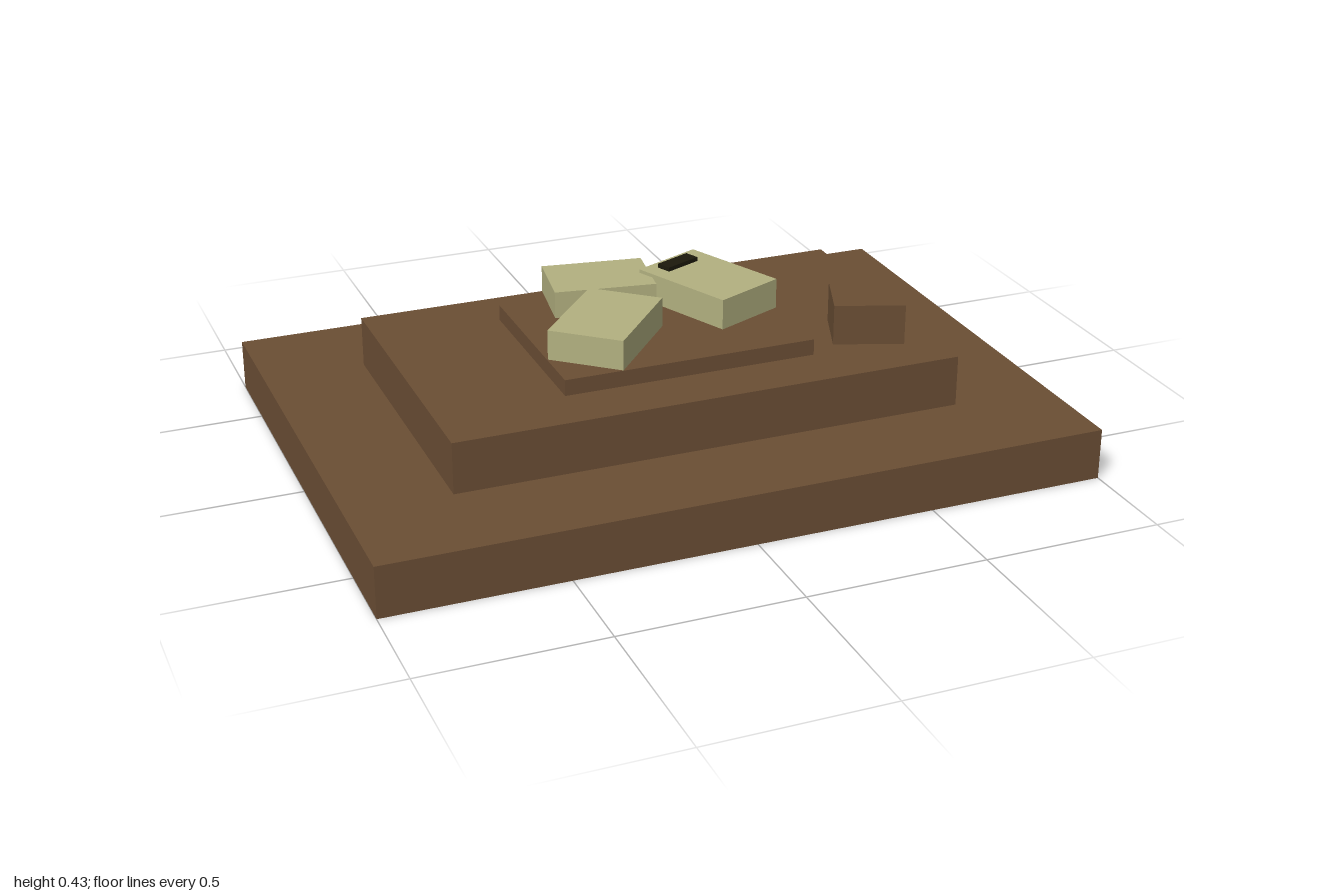
import * as THREE from 'three';

const paint = (name, color) => {
  const m = new THREE.MeshStandardMaterial({ color });
  m.name = name;
  return m;
};

export function createModel() {
  const model = new THREE.Group();
  model.name = 'steppedPlatform';
  const brown = paint('earthBrown', 0x6a4e34);
  const straw = paint('paleStraw', 0xb2b080);
  const black = paint('nearBlack', 0x1c190c);

  // A box resting on height y, turned about the vertical axis
  const block = (name, material, [w, h, d], [x, y, z], turn = 0) => {
    const mesh = new THREE.Mesh(new THREE.BoxGeometry(w, h, d), material);
    mesh.name = name;
    mesh.position.set(x, y + h / 2, z);
    mesh.rotation.y = turn;
    model.add(mesh);
  };

  // Three stacked tiers
  block('baseTier', brown, [2, 0.143, 1.428], [0, 0, 0]);
  block('middleTier', brown, [1.428, 0.143, 0.857], [0, 0.143, 0]);
  block('topTier', brown, [0.714, 0.045, 0.543], [0, 0.286, 0]);

  // Loose slabs scattered on the top tier
  block('backSlab', straw, [0.286, 0.076, 0.2], [-0.086, 0.331, -0.203], -0.155);
  block('leftSlab', straw, [0.321, 0.086, 0.217], [0.19, 0.331, -0.073], -1.16);
  block('rightSlab', straw, [0.311, 0.084, 0.213], [-0.172, 0.331, 0.083], 0.856);

  // Dark plate lying on the left slab
  block('darkPlate', black, [0.114, 0.012, 0.043], [0.141, 0.417, -0.172], 0.41);

  // Single block on the middle tier
  block('cornerBlock', brown, [0.195, 0.114, 0.17], [0.557, 0.286, 0.184], -0.362);

  return model;
}
